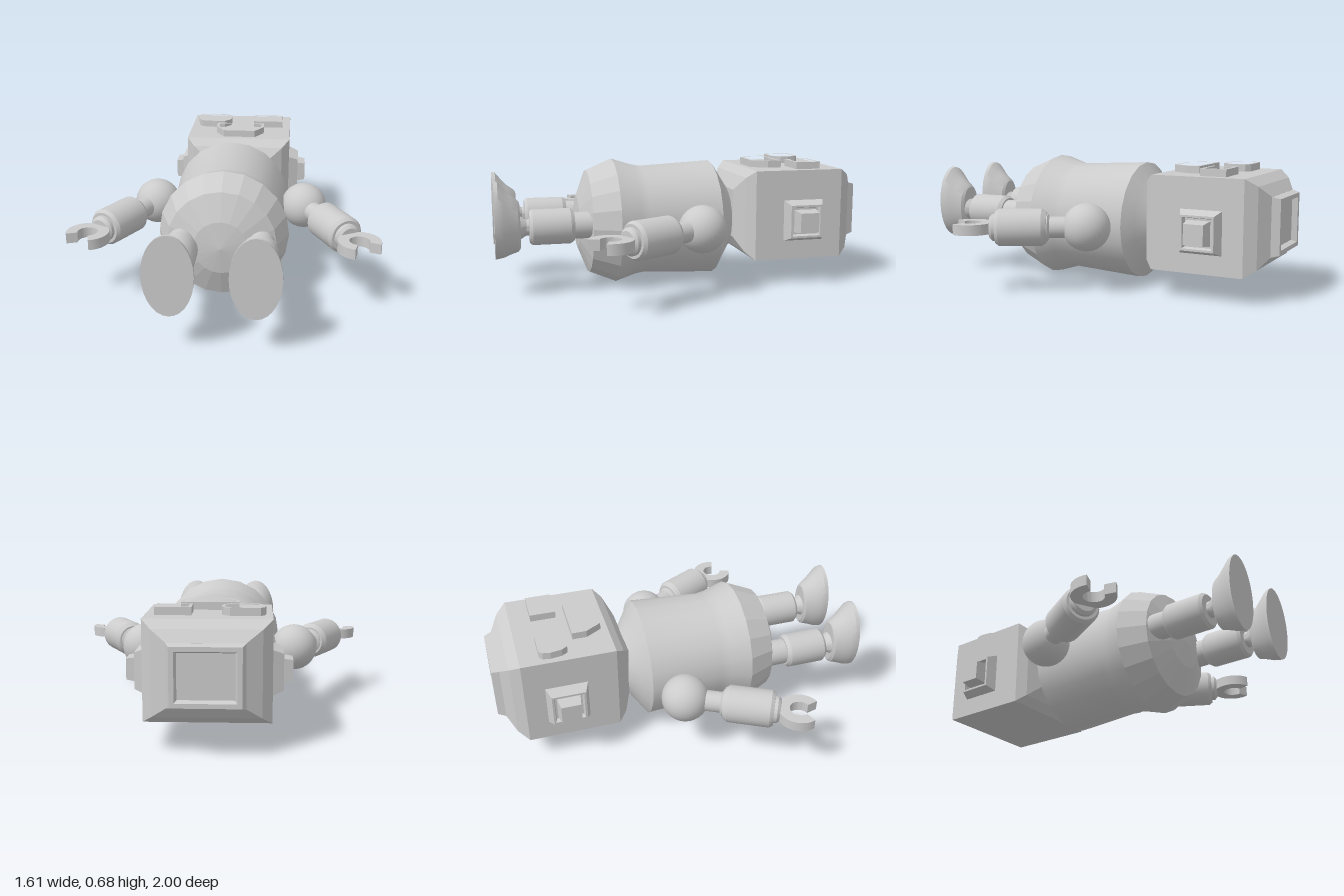
import * as THREE from 'three';
import { toCreasedNormals } from 'three/addons/utils/BufferGeometryUtils.js';

const grey = new THREE.MeshStandardMaterial({ color: 0xcccccc });
const faceted = new THREE.MeshStandardMaterial({ color: 0xcccccc, flatShading: true });
const V2 = (x, y) => new THREE.Vector2(x, y);

function add(parent, name, geometry, material = grey) {
  const mesh = new THREE.Mesh(geometry, material);
  mesh.name = name;
  parent.add(mesh);
  return mesh;
}

// Turned part along +z; profile is [radius, z] with z rising
function turned(profile, sides = 28) {
  const g = new THREE.LatheGeometry(profile.map(([r, z]) => V2(r, z)), sides);
  g.rotateX(Math.PI / 2);
  return toCreasedNormals(g, 0.5);
}

// Closed skin through rings of points, counter-clockwise seen from +z
function loft(rings, crease) {
  const n = rings[0].length, last = (rings.length - 1) * n, index = [];
  for (let k = 0; k < rings.length - 1; k++) {
    for (let i = 0; i < n; i++) {
      const a = k * n + i, b = k * n + (i + 1) % n;
      index.push(a, b, b + n, a, b + n, a + n);
    }
  }
  for (let i = 1; i < n - 1; i++) {
    index.push(0, i + 1, i, last, last + i, last + i + 1);
  }
  const g = new THREE.BufferGeometry();
  g.setAttribute('position', new THREE.Float32BufferAttribute(rings.flat(2), 3));
  g.setIndex(index);
  return toCreasedNormals(g, crease);
}

// Rectangular sections [z, halfWidth, halfHeight]
const boxLoft = (sections) => loft(sections.map(([z, w, h]) =>
  [[w, h, z], [-w, h, z], [-w, -h, z], [w, -h, z]]), 0.1);

// Elliptical sections [z, centreY, radiusX, radiusY]
const ovalLoft = (sections, n = 28) => loft(sections.map(([z, cy, rx, ry]) =>
  Array.from({ length: n }, (_, i) => {
    const a = i / n * Math.PI * 2;
    return [rx * Math.cos(a), cy + ry * Math.sin(a), z];
  })), 0.5);

// Raised rim lying on the face, outline given as [x, z]
function rim(outline, border, depth) {
  const xs = outline.map(p => p[0]), zs = outline.map(p => p[1]);
  const mid = a => (Math.min(...a) + Math.max(...a)) / 2;
  const size = a => Math.max(...a) - Math.min(...a);
  const cx = mid(xs), cz = mid(zs);
  const sx = 1 - 2 * border / size(xs), sz = 1 - 2 * border / size(zs);
  const shape = new THREE.Shape(outline.map(([x, z]) => V2(x, -z)));
  shape.holes.push(new THREE.Path(outline.map(([x, z]) =>
    V2(cx + (x - cx) * sx, -(cz + (z - cz) * sz)))));
  const g = new THREE.ExtrudeGeometry(shape, { depth, bevelEnabled: false });
  return g.rotateX(-Math.PI / 2);
}

function makeHead() {
  const head = new THREE.Group();
  head.name = 'head';
  const skull = new THREE.Group();
  skull.position.set(0.02, 0.382, 0);
  head.add(skull);
  add(skull, 'skull', boxLoft([
    [-0.96, 0.18, 0.15], [-0.915, 0.255, 0.205], [-0.86, 0.302, 0.243],
    [-0.37, 0.302, 0.243], [-0.325, 0.26, 0.205], [-0.28, 0.17, 0.13],
  ]));
  add(skull, 'crownPanel', boxLoft([
    [-0.972, 0.132, 0.108], [-1, 0.142, 0.118], [-1, 0.165, 0.14], [-0.95, 0.185, 0.152],
  ]));
  // Stepped ears on both sides
  for (const side of [1, -1]) {
    const ear = add(skull, side > 0 ? 'leftEar' : 'rightEar', boxLoft([
      [-0.01, 0.115, 0.115], [0.055, 0.089, 0.089], [0.055, 0.078, 0.078],
      [0.03, 0.072, 0.072], [0.03, 0.062, 0.062], [0.1, 0.052, 0.052],
    ]));
    ear.position.set(side * 0.302, -0.03, -0.64);
    ear.rotation.y = side * Math.PI / 2;
  }
  // Face rims
  const face = new THREE.Group();
  face.name = 'face';
  face.position.y = 0.62;
  head.add(face);
  add(face, 'leftEye', rim([[0.1, -0.75], [0.275, -0.75], [0.275, -0.614], [0.1, -0.614]], 0.017, 0.043));
  add(face, 'rightEye', rim([
    [-0.225, -0.757], [-0.08, -0.757], [-0.05, -0.735], [-0.04, -0.69], [-0.045, -0.645],
    [-0.08, -0.605], [-0.13, -0.6], [-0.22, -0.61], [-0.24, -0.64], [-0.25, -0.7], [-0.243, -0.74],
  ], 0.014, 0.043));
  add(face, 'mouth', rim([
    [-0.12, -0.566], [0.165, -0.566], [0.165, -0.49], [0.115, -0.407], [-0.07, -0.407], [-0.12, -0.49],
  ], 0.016, 0.043));
  return head;
}

function makeArm(side) {
  const arm = new THREE.Group();
  arm.name = side > 0 ? 'leftArm' : 'rightArm';
  arm.position.set(side * 0.415, 0.345, -0.045);
  arm.rotation.y = side * 0.49;
  add(arm, 'shoulder', new THREE.SphereGeometry(0.125, 32, 20));
  add(arm, 'upperArm', turned([[0.055, 0.05], [0.055, 0.19], [0.07, 0.2], [0.07, 0.23]]));
  add(arm, 'forearm', turned([
    [0, 0.205], [0.08, 0.205], [0.098, 0.23], [0.098, 0.45], [0.085, 0.468], [0, 0.468],
  ]));
  add(arm, 'wrist', turned([[0.07, 0.46], [0.07, 0.485], [0.055, 0.5], [0, 0.5]]));
  // C-shaped claw opening away from the wrist
  const gap = 0.74, claw = new THREE.Shape();
  claw.absarc(0, 0, 0.111, gap, Math.PI * 2 - gap, false);
  claw.absarc(0, 0, 0.052, Math.PI * 2 - gap, gap, true);
  claw.closePath();
  const g = new THREE.ExtrudeGeometry(claw, { depth: 0.055, bevelEnabled: false, curveSegments: 20 });
  g.translate(0, 0, -0.0275).rotateX(-Math.PI / 2).rotateY(-Math.PI / 2);
  add(arm, 'claw', toCreasedNormals(g, 0.5)).position.z = 0.595;
  return arm;
}

function makeLeg(side) {
  const leg = new THREE.Group();
  leg.name = side > 0 ? 'leftLeg' : 'rightLeg';
  leg.position.set(side * 0.2, 0.355, 0);
  add(leg, 'thigh', turned([[0.07, 0.42], [0.07, 0.61]]));
  add(leg, 'shin', turned([
    [0, 0.595], [0.08, 0.595], [0.093, 0.615], [0.093, 0.81], [0.08, 0.825], [0, 0.825],
  ]));
  add(leg, 'ankle', turned([[0.042, 0.81], [0.042, 0.84], [0.065, 0.88]]));
  add(leg, 'foot', ovalLoft([
    [0.872, 0.01, 0.065, 0.12], [0.882, 0.01, 0.082, 0.135], [0.92, 0.018, 0.1, 0.155],
    [0.955, 0.03, 0.115, 0.182], [0.98, 0.043, 0.122, 0.2], [1, 0.043, 0.122, 0.203],
  ]));
  return leg;
}

export function createModel() {
  const model = new THREE.Group();
  model.name = 'robot';

  // Round body lying along z
  const body = new THREE.Group();
  body.name = 'body';
  body.position.y = 0.34;
  model.add(body);
  add(body, 'torso', turned([
    [0, -0.32], [0.15, -0.31], [0.19, -0.275], [0.25, -0.235], [0.318, -0.19],
    [0.297, 0.2], [0.305, 0.25], [0.34, 0.36],
  ], 20));
  add(body, 'belly', turned([[0.34, 0.36], [0.28, 0.5], [0.14, 0.555], [0, 0.572]], 20), faceted);

  model.add(makeHead());
  for (const side of [1, -1]) model.add(makeArm(side), makeLeg(side));
  return model;
}
